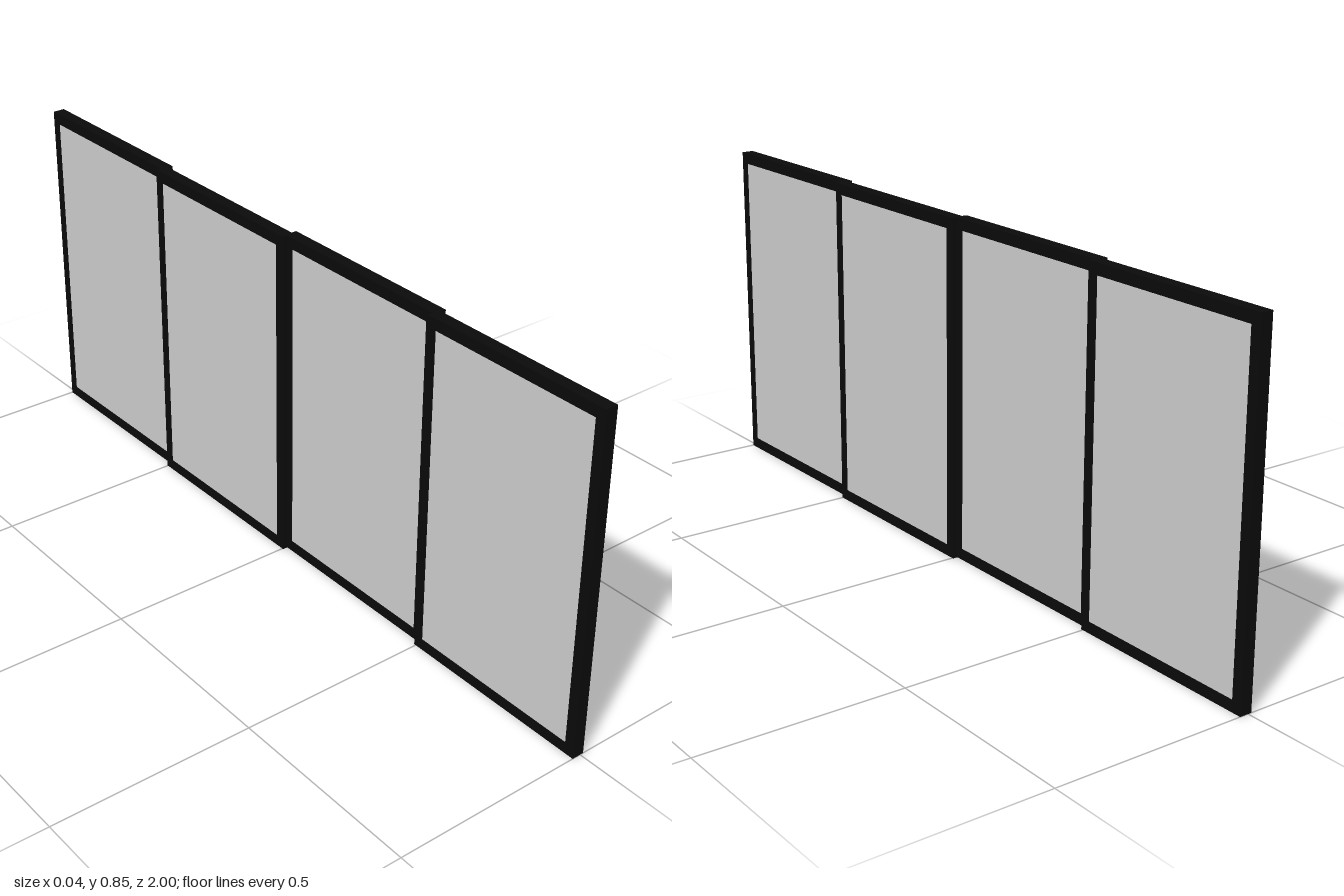
import * as THREE from 'three';

const HEIGHT = 0.847, WIDTH = 0.505, DEPTH = 0.031; // one panel
const STILE = 0.025, RAIL = 0.028;                  // frame bar widths
const COUNT = 4, OFFSET = 0.0065;                   // panels alternate between two tracks

function rectangle(target, w, h) {
  target.moveTo(-w / 2, -h / 2);
  target.lineTo(w / 2, -h / 2);
  target.lineTo(w / 2, h / 2);
  target.lineTo(-w / 2, h / 2);
  target.closePath();
  return target;
}

export function createModel() {
  const group = new THREE.Group();
  group.name = 'slidingPanels';

  const frameMaterial = new THREE.MeshStandardMaterial({ color: 0x0a0a0a });
  const glassMaterial = new THREE.MeshStandardMaterial({ color: 0xcccccc });

  // Rectangular frame with an opening, turned to face along x
  const outline = rectangle(new THREE.Shape(), WIDTH, HEIGHT);
  const openW = WIDTH - 2 * STILE, openH = HEIGHT - 2 * RAIL;
  outline.holes.push(rectangle(new THREE.Path(), openW, openH));
  const frameGeometry = new THREE.ExtrudeGeometry(outline, { depth: DEPTH, bevelEnabled: false });
  frameGeometry.translate(0, 0, -DEPTH / 2);
  frameGeometry.rotateY(Math.PI / 2);

  // Pane filling the opening, almost flush with the frame
  const glassGeometry = new THREE.BoxGeometry(DEPTH - 0.002, openH, openW);

  const pitch = (2 - WIDTH) / (COUNT - 1);
  for (let i = 0; i < COUNT; i++) {
    const panel = new THREE.Group();
    panel.name = `panel${i + 1}`;
    const frame = new THREE.Mesh(frameGeometry, frameMaterial);
    frame.name = 'frame';
    const glass = new THREE.Mesh(glassGeometry, glassMaterial);
    glass.name = 'glass';
    panel.add(frame, glass);
    panel.position.set(i % 2 ? OFFSET : -OFFSET, HEIGHT / 2, 1 - WIDTH / 2 - i * pitch);
    group.add(panel);
  }
  return group;
}
